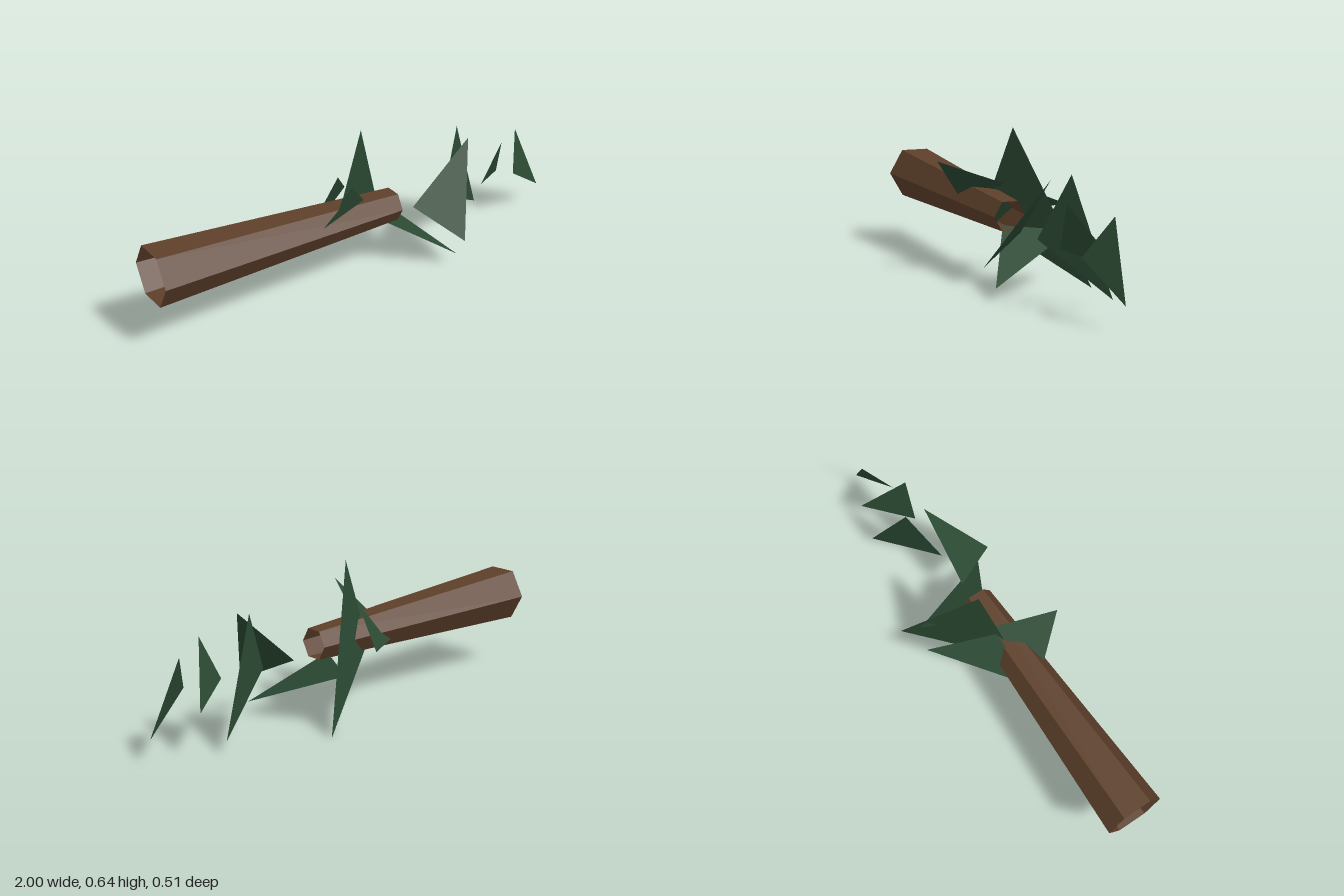
import * as THREE from 'three';

const AXIS_Y = 0.245, AXIS_Z = 0.045;

export function createModel() {
  const group = new THREE.Group();
  group.name = 'fallenPine';
  const bark = new THREE.MeshStandardMaterial({ color: 0x5e402a, flatShading: true, side: THREE.DoubleSide });
  const needles = new THREE.MeshStandardMaterial({ color: 0x2b4a33, flatShading: true, side: THREE.DoubleSide });

  // Trunk: open six-sided taper lying along x, sinking slightly towards the tip
  const trunkGeo = new THREE.CylinderGeometry(0.07, 0.125, 1.135, 6, 1, true);
  trunkGeo.rotateZ(-Math.PI / 2);
  trunkGeo.translate(-0.4325, 0, AXIS_Z);
  const pos = trunkGeo.attributes.position;
  for (let i = 0; i < pos.count; i++) {
    const t = (pos.getX(i) + 1) / 1.135;
    pos.setY(i, pos.getY(i) + THREE.MathUtils.lerp(0.33, 0.295, t));
  }
  trunkGeo.computeVertexNormals();
  const trunk = new THREE.Mesh(trunkGeo, bark);
  trunk.name = 'trunk';
  group.add(trunk);

  // Foliage: each blade is a triangle rooted on the tree's axis at x, with two free tips
  const blades = [
    [-0.32, [-0.155, 0.495, 0.25], [-0.04, 0.405, 0]],
    [-0.32, [0.055, 0.312, -0.255], [-0.08, 0.42, 0]],
    [-0.165, [0.015, 0.645, -0.02], [0.29, 0, -0.253]],
    [0.06, [0.36, 0.052, 0.205], [0.18, 0.225, -0.208]],
    [0.24, [0.525, 0.497, 0.047], [0.36, 0.14, 0.257]],
    [0.4, [0.53, 0.515, -0.04], [0.715, 0.052, -0.127]],
    [0.61, [0.7, 0.432, 0.063], [0.82, 0.185, -0.107]],
    [0.79, [0.87, 0.405, -0.05], [1, 0.098, -0.029]],
  ];
  const foliage = new THREE.Group();
  foliage.name = 'foliage';
  blades.forEach(([x, a, b], i) => {
    const geo = new THREE.BufferGeometry();
    geo.setAttribute('position', new THREE.Float32BufferAttribute([x, AXIS_Y, AXIS_Z, ...b, ...a], 3));
    geo.computeVertexNormals();
    const blade = new THREE.Mesh(geo, needles);
    blade.name = `foliageBlade${i + 1}`;
    foliage.add(blade);
  });
  group.add(foliage);
  return group;
}
